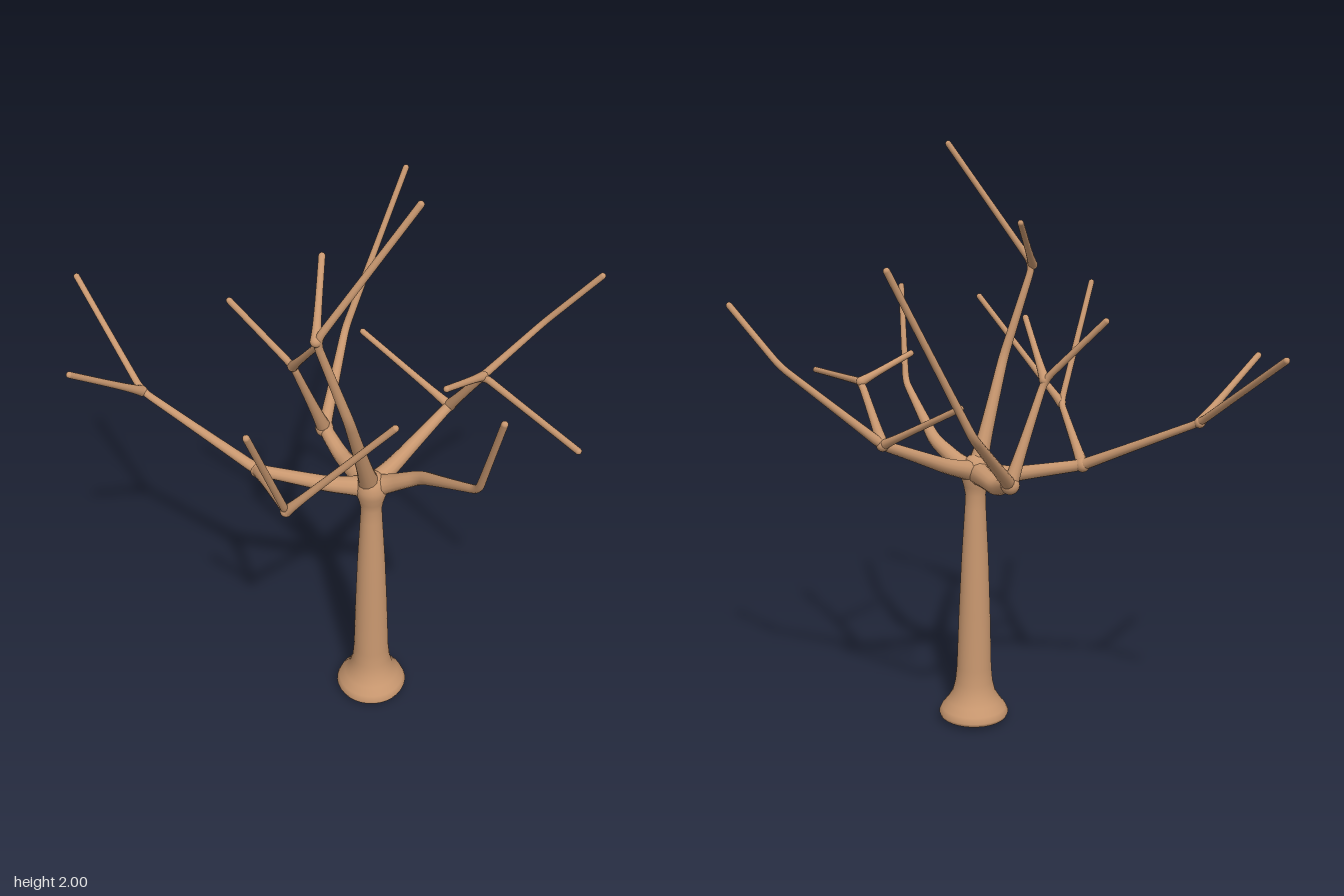
import * as THREE from 'three';

const bark = new THREE.MeshStandardMaterial({ color: 0xc8976f });
const SIDES = 12;
const V = (p) => new THREE.Vector3(...p);

// Polyline through the points, with each inner corner rounded off
function branchCurve(points, round = 0.035) {
  const pts = points.map(V);
  const path = new THREE.CurvePath();
  let from = pts[0];
  for (let i = 1; i < pts.length - 1; i++) {
    const p = pts[i];
    const cut = (q) => p.clone().add(q.clone().sub(p).setLength(Math.min(round, p.distanceTo(q) * 0.45)));
    const a = cut(pts[i - 1]), b = cut(pts[i + 1]);
    path.add(new THREE.LineCurve3(from, a));
    path.add(new THREE.QuadraticBezierCurve3(a, p, b));
    from = b;
  }
  path.add(new THREE.LineCurve3(from, pts[pts.length - 1]));
  return path;
}

// Tapered limb: thick and flared where it leaves its parent, thin at the tip
function limb(name, points, r0, flare, r1 = 0.0105) {
  const group = new THREE.Group();
  group.name = name;
  const curve = branchCurve(points);
  const length = curve.getLength();
  const steps = Math.ceil(length / 0.015);
  const geo = new THREE.TubeGeometry(curve, steps, 1, SIDES, false);
  const pos = geo.attributes.position;
  const v = new THREE.Vector3();
  for (let i = 0; i <= steps; i++) {
    const t = i / steps;
    const c = curve.getPointAt(t);
    const r = r1 + (r0 - r1) * Math.pow(1 - t, 2.5) + flare * Math.exp(-t * length / 0.045);
    for (let j = 0; j <= SIDES; j++) {
      const k = i * (SIDES + 1) + j;
      v.fromBufferAttribute(pos, k).sub(c).multiplyScalar(r).add(c);
      pos.setXYZ(k, v.x, v.y, v.z);
    }
  }
  geo.computeBoundingSphere();
  const stem = new THREE.Mesh(geo, bark);
  stem.name = name + 'Stem';
  const tip = new THREE.Mesh(new THREE.SphereGeometry(r1, SIDES, 8), bark);
  tip.name = name + 'Tip';
  tip.position.copy(V(points[points.length - 1]));
  group.add(stem, tip);
  return group;
}

export function createModel() {
  const tree = new THREE.Group();
  tree.name = 'bareTree';

  // Trunk with flared foot and swollen crown where the limbs meet
  const profile = [[0, 0.004], [0.1, 0.009], [0.118, 0.018], [0.123, 0.03], [0.114, 0.05], [0.094, 0.075],
    [0.076, 0.105], [0.066, 0.145], [0.061, 0.2], [0.055, 0.4], [0.047, 0.6], [0.037, 0.78],
    [0.035, 0.83], [0.041, 0.86], [0.05, 0.89], [0.052, 0.915], [0.044, 0.942], [0.026, 0.963], [0, 0.972]];
  const trunk = new THREE.Mesh(
    new THREE.LatheGeometry(profile.map(([r, y]) => new THREE.Vector2(r, y)), 32), bark);
  trunk.name = 'trunk';
  trunk.position.set(0.022, 0, 0.165);
  trunk.rotation.z = 0.012;
  tree.add(trunk);

  // Forks
  const hub = [0.01, 0.91, 0.16];
  const left = [0.36, 1.055, 0.055], leftFork = [0.395, 1.24, 0.19];
  const back = [0, 0.945, -0.155], backFork = [-0.135, 1.265, -0.1];
  const right = [-0.3, 0.955, -0.03], rightBack = [-0.56, 1.15, -0.35], rightFront = [-0.37, 1.085, 0.345];
  const crown = [-0.23, 1.59, 0.272];

  // Main limbs, each running on into its longest branch
  tree.add(
    limb('leftLimb', [hub, [0.12, 0.945, 0.125], left, [0.67, 1.32, 0.11], [0.805, 1.505, 0.208]], 0.031, 0.012),
    limb('backLimb', [hub, [0.005, 0.905, -0.04], back, [0.195, 1.165, -0.38], [0.465, 1.67, -0.465]], 0.036, 0.008),
    limb('rightLimb', [hub, [-0.1, 0.91, 0.09], right, rightBack, [-0.63, 1.405, -0.72]], 0.031, 0.012),
    limb('frontLimb', [hub, [0.06, 0.935, 0.2], [0.12, 1.0, 0.29], [0.14, 1.15, 0.585], [0.115, 1.48, 0.72]], 0.033, 0.008),
    limb('crownLimb', [hub, [-0.125, 1.28, 0.27], crown, [0.038, 1.99, 0.365]], 0.029, 0.016),
  );

  // Side branches: name, points, starting radius
  const sides = [
    ['leftInnerBranch', [left, leftFork, [0.46, 1.207, 0.62]], 0.016],
    ['leftInnerTwig', [leftFork, [0.2, 1.307, 0.285]], 0.012],
    ['leftBackTwig', [left, [0.19, 1.225, -0.243]], 0.013],
    ['backInnerBranch', [back, backFork, [-0.28, 1.467, -0.245]], 0.022],
    ['backInnerTwig', [backFork, [-0.135, 1.44, 0.08]], 0.013],
    ['rightOuterTwig', [rightBack, [-0.805, 1.335, -0.265]], 0.013],
    ['rightFrontBranch', [right, rightFront, [-0.537, 1.495, 0.483]], 0.018],
    ['rightFrontTwig', [rightFront, [-0.135, 1.45, 0.567]], 0.013],
    ['crownTwig', [crown, [-0.12, 1.745, 0.09]], 0.012],
  ];
  for (const [name, points, r] of sides) tree.add(limb(name, points, r, 0.005));

  // Swollen knots that fill the forks
  const knots = [[left, 0.021], [leftFork, 0.016], [back, 0.031], [backFork, 0.018], [right, 0.025],
    [rightBack, 0.018], [rightFront, 0.018], [crown, 0.017]];
  for (const [p, r] of knots) {
    const knot = new THREE.Mesh(new THREE.SphereGeometry(r, 16, 12), bark);
    knot.name = 'forkKnot';
    knot.position.copy(V(p));
    tree.add(knot);
  }
  return tree;
}
